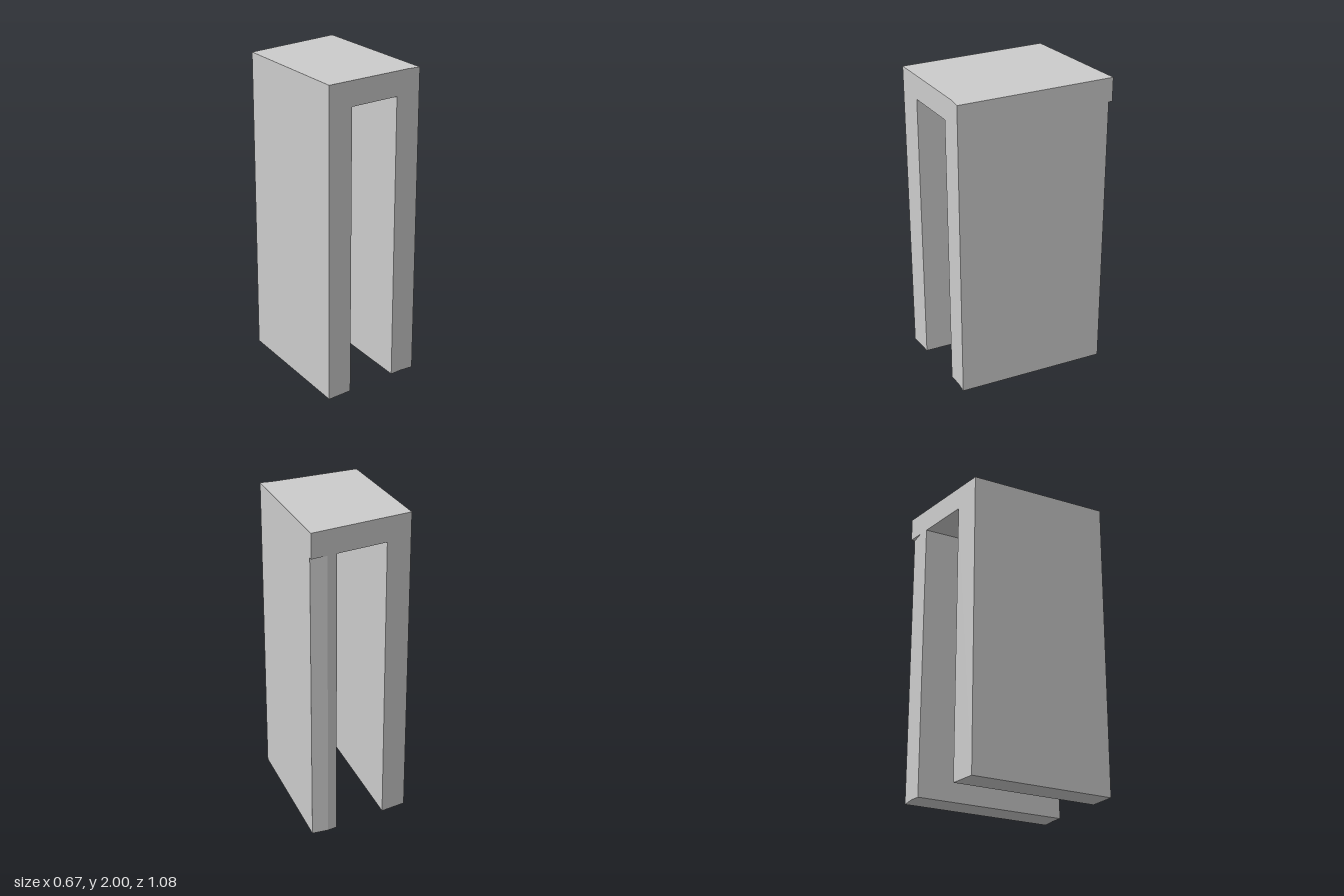
import * as THREE from 'three';

const material = new THREE.MeshStandardMaterial({ color: 0xcccccc, flatShading: true });

// Upright prism over a plan outline of [x, z] points
function prism(name, plan, bottom, top) {
  const shape = new THREE.Shape(plan.map(([x, z]) => new THREE.Vector2(x, -z)));
  const geometry = new THREE.ExtrudeGeometry(shape, { depth: top - bottom, bevelEnabled: false });
  geometry.rotateX(-Math.PI / 2).translate(0, bottom, 0);
  const mesh = new THREE.Mesh(geometry, material);
  mesh.name = name;
  return mesh;
}

export function createModel() {
  const group = new THREE.Group();
  group.name = 'arch';
  const half = 0.337, gap = 0.17, ceiling = 1.845;

  // Slanted front and back lines of the plan
  const front = (x) => 0.457 + (0.25 - x) * 0.133;
  const back = (x) => -0.386 - (x + half) * 0.2285;

  // Left-hand and right-hand walls; the latter is squared off at its outer corners
  group.add(prism('plainWall', [
    [-half, front(-half)], [-gap, front(-gap)], [-gap, back(-gap)], [-half, back(-half)],
  ], 0, ceiling));
  group.add(prism('squaredWall', [
    [gap, front(gap)], [0.25, front(0.25)], [half, front(0.25)],
    [half, -0.516], [0.232, -0.516], [gap, back(gap)],
  ], 0, ceiling));

  // Roof slab, overhanging the squared wall at the back
  group.add(prism('roof', [
    [-half, front(-half)], [0.25, front(0.25)], [half, front(0.25)],
    [half, back(half)], [-half, back(-half)],
  ], ceiling, 2));
  return group;
}
